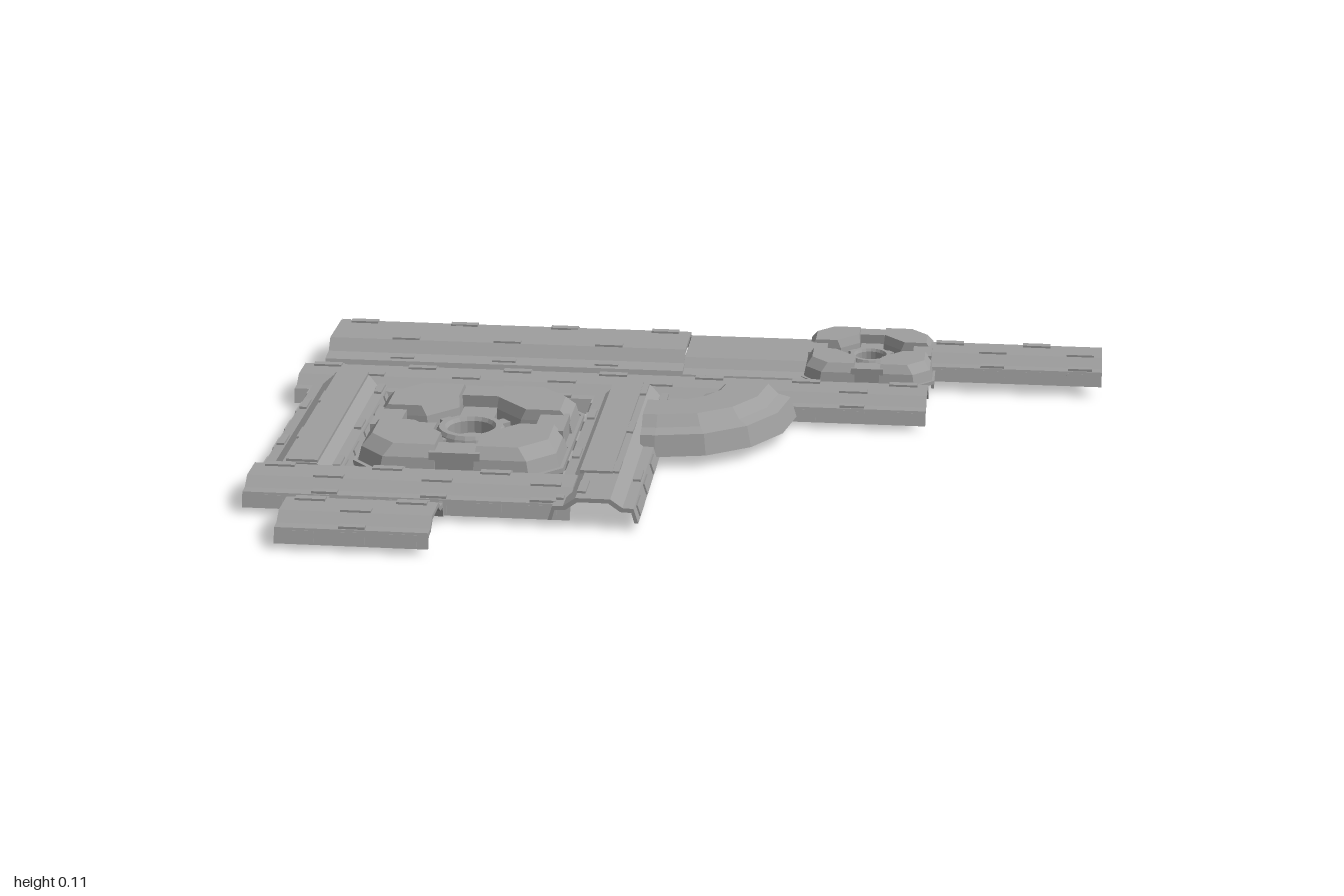
import * as THREE from 'three';

const mat = new THREE.MeshStandardMaterial({ color: 0x9e9e9e, flatShading: true, side: THREE.DoubleSide });

// Half sections, centre to rim: [offset, height]
const RAIL = [[0.04, 0.07], [0.068, 0.05], [0.093, 0.049], [0.104, 0.014]];
const BARREL = [[0.07, 0.092], [0.095, 0.064], [0.138, 0.058], [0.15, 0.025]];
const SLEEVE = [[0.085, 0.076], [0.11, 0.055], [0.145, 0.05], [0.155, 0.02]];
const ELBOW = [[0.05, 0.113], [0.075, 0.088], [0.105, 0.08], [0.12, 0.03]];

// Closed outline of a thin hat-shaped sheet
function section(half, t = 0.01) {
  const outer = [...half.map(([x, y]) => [-x, y]).reverse(), ...half];
  const inner = outer.map(([x, y], i) => {
    const rim = i === 0 || i === outer.length - 1;
    return [x - Math.sign(x) * t * (rim ? 0.9 : 0.5), rim ? y : y - t];
  });
  return [...outer, ...inner.reverse()].map(([x, y]) => new THREE.Vector2(x, y));
}

function mesh(parent, name, geometry) {
  const m = new THREE.Mesh(geometry, mat);
  m.name = name;
  parent.add(m);
  return m;
}

function box(parent, name, w, h, d, x, y, z) {
  const m = mesh(parent, name, new THREE.BoxGeometry(w, h, d));
  m.position.set(x, y, z);
  return m;
}

// Beam running from a to b along an axis, with small plates along its shoulders
function beam(parent, name, axis, centre, a, b, half = RAIL, lift = 0, plates = true) {
  const g = new THREE.Group();
  const len = b - a;
  g.name = name;
  const geo = new THREE.ExtrudeGeometry(new THREE.Shape(section(half)), { depth: len, bevelEnabled: false });
  mesh(g, 'shell', geo.translate(0, 0, -len / 2));
  if (plates) {
    const n = Math.max(2, Math.round(len / 0.125));
    const [top, foot, shoulder, rim] = half;
    for (let i = 0; i < n; i++) {
      const z = -len / 2 + (i + 0.5) * len / n;
      for (const s of [-1, 1]) {
        const edge = box(g, 'rimPlate', 0.008, 0.026, 0.065, s * (shoulder[0] + rim[0]) / 2,
          (shoulder[1] + rim[1]) / 2, z);
        edge.rotation.z = s * Math.atan2(rim[0] - shoulder[0], shoulder[1] - rim[1]);
        if ((i + (s > 0 ? 1 : 0)) % 2) {
          box(g, 'shoulderPlate', 0.018, 0.008, 0.06, s * (foot[0] + shoulder[0]) / 2, shoulder[1] + 0.002, z);
          box(g, 'topPlate', 0.02, 0.008, 0.07, s * (top[0] - 0.01), top[1] + 0.001, z);
        }
      }
    }
  }
  if (axis === 'x') {
    g.rotation.y = Math.PI / 2;
    g.position.set((a + b) / 2, lift, centre);
  } else {
    g.position.set(centre, lift, (a + b) / 2);
  }
  parent.add(g);
}

// Open-bottomed shell through stacked loops of [x, z] points, closed on top
function stackedShell(loops, heights) {
  const pos = [];
  const put = (k, i) => pos.push(loops[k][i][0], heights[k], loops[k][i][1]);
  const n = loops[0].length;
  for (let k = 0; k + 1 < loops.length; k++) {
    for (let i = 0; i < n; i++) {
      const j = (i + 1) % n;
      put(k, i); put(k + 1, i); put(k + 1, j);
      put(k, i); put(k + 1, j); put(k, j);
    }
  }
  const t = loops.length - 1;
  for (let i = 1; i < n - 1; i++) { put(t, 0); put(t, i + 1); put(t, i); }
  const geo = new THREE.BufferGeometry();
  geo.setAttribute('position', new THREE.Float32BufferAttribute(pos, 3));
  geo.computeVertexNormals();
  return geo;
}

// Corner block outline: channel half-width w, inner cut c, outer reach r, corner start k
const corner = (w, c, r, k) => [[w, c], [c, w], [r, w], [r, k], [k, r], [w, r]];

// Square hub: chamfered plate, four raised corner blocks, cross channels, ring
function hub(parent, name, x, z, s, y0, h) {
  const g = new THREE.Group();
  g.name = name;
  g.position.set(x, y0, z);
  g.scale.set(s, h, s);
  const base = corner(0.045, 0.11, 0.242, 0.178);
  const mid = corner(0.046, 0.115, 0.232, 0.17);
  const top = corner(0.049, 0.128, 0.21, 0.148);

  const R = 0.25, K = 0.185;
  const v = (p) => new THREE.Vector2(p[0], p[1]);
  const plate = new THREE.Shape([[R, -K], [R, K], [K, R], [-K, R], [-R, K], [-R, -K], [-K, -R], [K, -R]].map(v));
  for (const sx of [-1, 1]) for (const sz of [-1, 1]) {
    plate.holes.push(new THREE.Path(base.map(([a, b]) => v([a * sx, b * sz]))));
  }
  plate.holes.push(new THREE.Path().absarc(0, 0, 0.06, 0, Math.PI * 2, true));
  const plateGeo = new THREE.ExtrudeGeometry(plate, { depth: 0.01, bevelEnabled: false, curveSegments: 8 });
  mesh(g, 'basePlate', plateGeo.rotateX(-Math.PI / 2).translate(0, 0.015, 0));

  for (let q = 0; q < 4; q++) {
    const arm = new THREE.Group();
    arm.name = 'hubQuarter';
    arm.rotation.y = q * Math.PI / 2;
    mesh(arm, 'cornerBlock', stackedShell([base, mid, top], [0.015, 0.052, 0.075]));
    // Outer skirt, channel bridge and step
    box(arm, 'skirt', 0.35, 0.02, 0.01, 0, 0.01, 0.244);
    box(arm, 'channelBridge', 0.12, 0.04, 0.07, 0, 0.045, 0.198);
    box(arm, 'channelStep', 0.085, 0.014, 0.08, 0, 0.032, 0.13);
    const strut = box(arm, 'ringStrut', 0.03, 0.012, 0.04, 0.062, 0.034, 0.062);
    strut.rotation.y = Math.PI / 4;
    g.add(arm);
  }
  const ring = [[0.056, 0.01], [0.056, 0.042], [0.062, 0.05], [0.076, 0.05], [0.082, 0.042], [0.088, 0.024]];
  mesh(g, 'centreRing', new THREE.LatheGeometry(ring.map(v).reverse(), 20));
  const floor = mesh(g, 'ringFloor', new THREE.CylinderGeometry(0.057, 0.057, 0.006, 20));
  floor.position.y = 0.012;
  parent.add(g);
}

export function createModel() {
  const root = new THREE.Group();
  root.name = 'panelAssembly';

  // Rear barrel, its sleeve and the narrow muzzle rail
  beam(root, 'barrel', 'x', -0.55, -0.965, -0.05, BARREL);
  beam(root, 'barrelSleeve', 'x', -0.555, -0.05, 0.3, SLEEVE, 0, false);
  beam(root, 'muzzleRail', 'x', -0.597, 0.56, 1, RAIL, 0.012);
  for (const x of [-0.95, -0.65, -0.35]) {
    const notch = mesh(root, 'barrelNotch', new THREE.ConeGeometry(0.014, 0.09, 3));
    notch.rotation.x = Math.PI / 2;
    notch.scale.z = 0.4;
    notch.position.set(x, 0.092, -0.575);
  }

  // Long cross rail, frame around the large hub and lower stub
  beam(root, 'crossRail', 'x', -0.3, -1, 0.57);
  beam(root, 'frameSideRight', 'z', -0.865, -0.27, 0.36, RAIL, 0.004);
  beam(root, 'frameSideLeft', 'z', -0.155, -0.28, 0.515, RAIL, 0.004);
  beam(root, 'frameFront', 'x', 0.4, -0.97, -0.21);
  beam(root, 'stubRail', 'x', 0.605, -0.85, -0.5);
  for (const x of [-0.86, -0.168]) box(root, 'topStrip', 0.075, 0.008, 0.62, x, 0.076, 0.045);
  // Low skirts under the frame sides
  for (const x of [-0.964, -0.254]) box(root, 'underSkirt', 0.012, 0.024, 0.64, x, 0.012, 0.05);

  // Hubs
  hub(root, 'largeHub', -0.51, 0.067, 1, 0.015, 1.13);
  hub(root, 'smallHub', 0.415, -0.547, 0.67, 0.03, 0.9);

  // Quarter-turn elbow beside the frame, with a short straight lead-in
  const loop = section(ELBOW).map((p) => new THREE.Vector2(p.x + 0.195, p.y));
  loop.push(loop[0].clone());
  const elbow = mesh(root, 'elbow', new THREE.LatheGeometry(loop.reverse(), 4, 0, Math.PI / 2));
  elbow.position.set(-0.06, 0, -0.19);
  beam(root, 'elbowLeadIn', 'x', 0.005, -0.095, -0.06, ELBOW, 0, false);
  return root;
}
